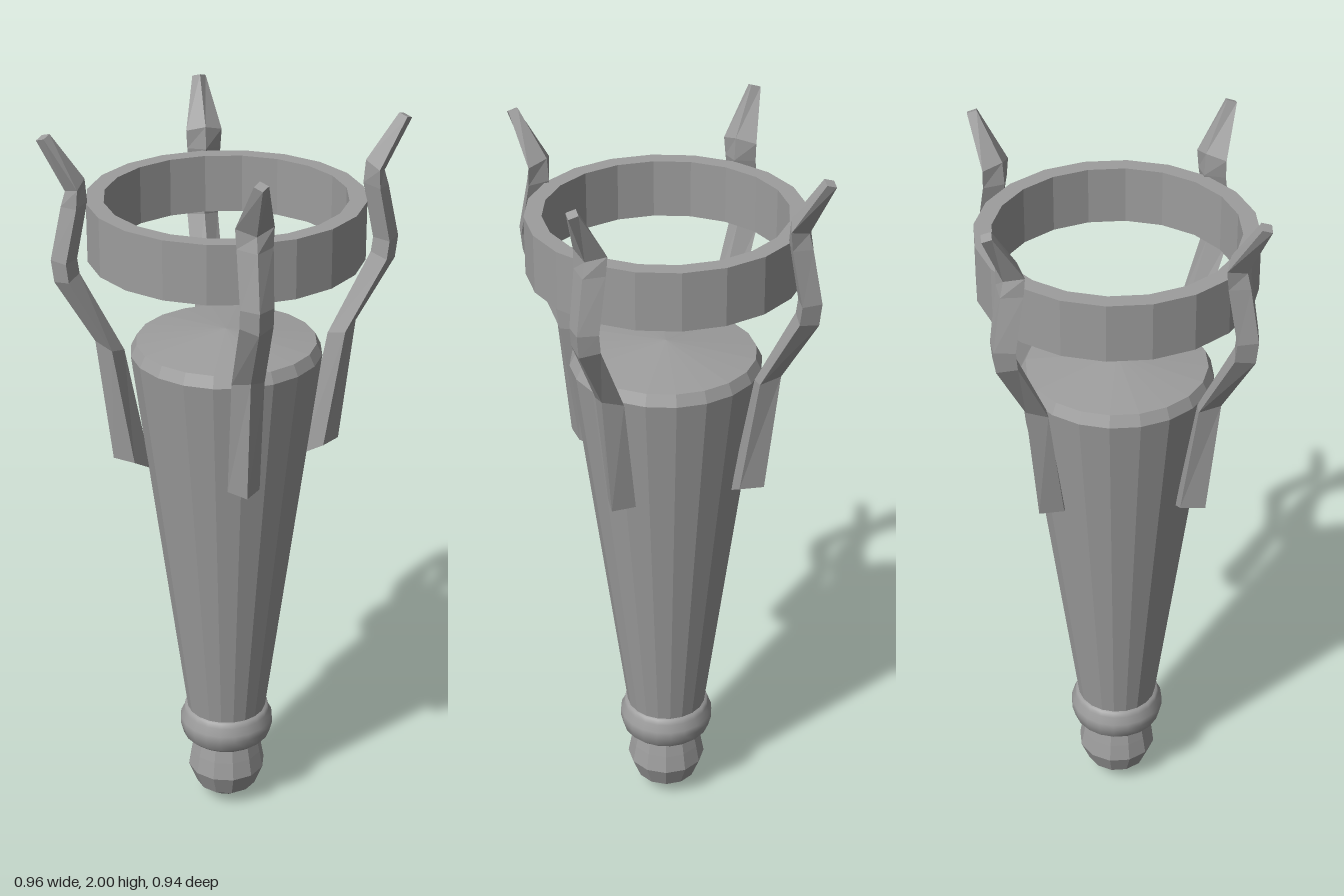
import * as THREE from 'three';

const material = (flat) => new THREE.MeshStandardMaterial({ color: 0x9d9d9d, flatShading: flat });

// Turned part from [radius, height] pairs, listed from the bottom up
function turned(name, profile, sides, flat = true) {
  const points = profile.map(([r, y]) => new THREE.Vector2(r, y));
  const mesh = new THREE.Mesh(new THREE.LatheGeometry(points, sides), material(flat));
  mesh.name = name;
  return mesh;
}

// Bent prong along +z with a diamond section: ridges face outwards and towards the centre
function prongGeometry() {
  // [outer radius, outer y, inner radius, inner y, half width]
  const stations = [
    [0.305, 1.10, 0.205, 1.06, 0.042],
    [0.345, 1.44, 0.27, 1.41, 0.042],
    [0.445, 1.61, 0.38, 1.63, 0.042],
    [0.452, 1.67, 0.385, 1.67, 0.042],
    [0.422, 1.81, 0.355, 1.82, 0.045],
    [0.41, 1.85, 0.36, 1.88, 0.048],
    [0.477, 1.985, 0.443, 2.0, 0.018],
  ];
  const positions = [];
  const index = [];
  stations.forEach(([ro, yo, ri, yi, w], i) => {
    const rm = (ro + ri) / 2;
    const ym = i === 0 ? yo : (yo + yi) / 2;
    positions.push(0, yo, ro, w, ym, rm, 0, yi, ri, -w, ym, rm);
  });
  const n = 4;
  for (let i = 0; i < stations.length - 1; i++) {
    for (let j = 0; j < n; j++) {
      const a = i * n + j;
      const b = i * n + ((j + 1) % n);
      index.push(a, b, b + n, a, b + n, a + n);
    }
  }
  // End caps
  const top = (stations.length - 1) * n;
  index.push(0, 3, 1, 1, 3, 2, top, top + 1, top + 3, top + 1, top + 2, top + 3);
  const geometry = new THREE.BufferGeometry();
  geometry.setAttribute('position', new THREE.Float32BufferAttribute(positions, 3));
  geometry.setIndex(index);
  geometry.computeVertexNormals();
  return geometry;
}

export function createModel() {
  const model = new THREE.Group();
  model.name = 'wallTorch';

  // Handle, collar, pommel and holding ring share one axis
  const turnedParts = new THREE.Group();
  turnedParts.name = 'turnedParts';
  turnedParts.position.x = -0.005;
  turnedParts.add(
    turned('handle', [[0, 0.25], [0.105, 0.25], [0.11, 0.3], [0.252, 1.39], [0.237, 1.42], [0, 1.45]], 20),
    turned('collar', [
      [0.085, 0.2], [0.11, 0.203], [0.123, 0.215], [0.131, 0.245],
      [0.13, 0.265], [0.12, 0.285], [0.117, 0.3], [0.1, 0.303],
    ], 20, false),
    turned('pommel', [
      [0, 0], [0.035, 0.008], [0.085, 0.045], [0.109, 0.105], [0.1, 0.155], [0.088, 0.21],
    ], 12),
    turned('holdingRing', [[0.312, 1.66], [0.357, 1.66], [0.357, 1.815], [0.312, 1.815], [0.312, 1.66]], 20),
  );
  model.add(turnedParts);

  // Four prongs around the handle, each set slightly off centre: [name, x, z]
  const geometry = prongGeometry();
  [
    ['frontProng', -0.005, -0.008],
    ['leftProng', 0, -0.018],
    ['backProng', 0.004, 0.005],
    ['rightProng', -0.003, -0.003],
  ].forEach(([name, x, z], i) => {
    const prong = new THREE.Mesh(geometry, material(true));
    prong.name = name;
    prong.position.set(x, 0, z);
    prong.rotation.y = (i * Math.PI) / 2;
    model.add(prong);
  });

  return model;
}
